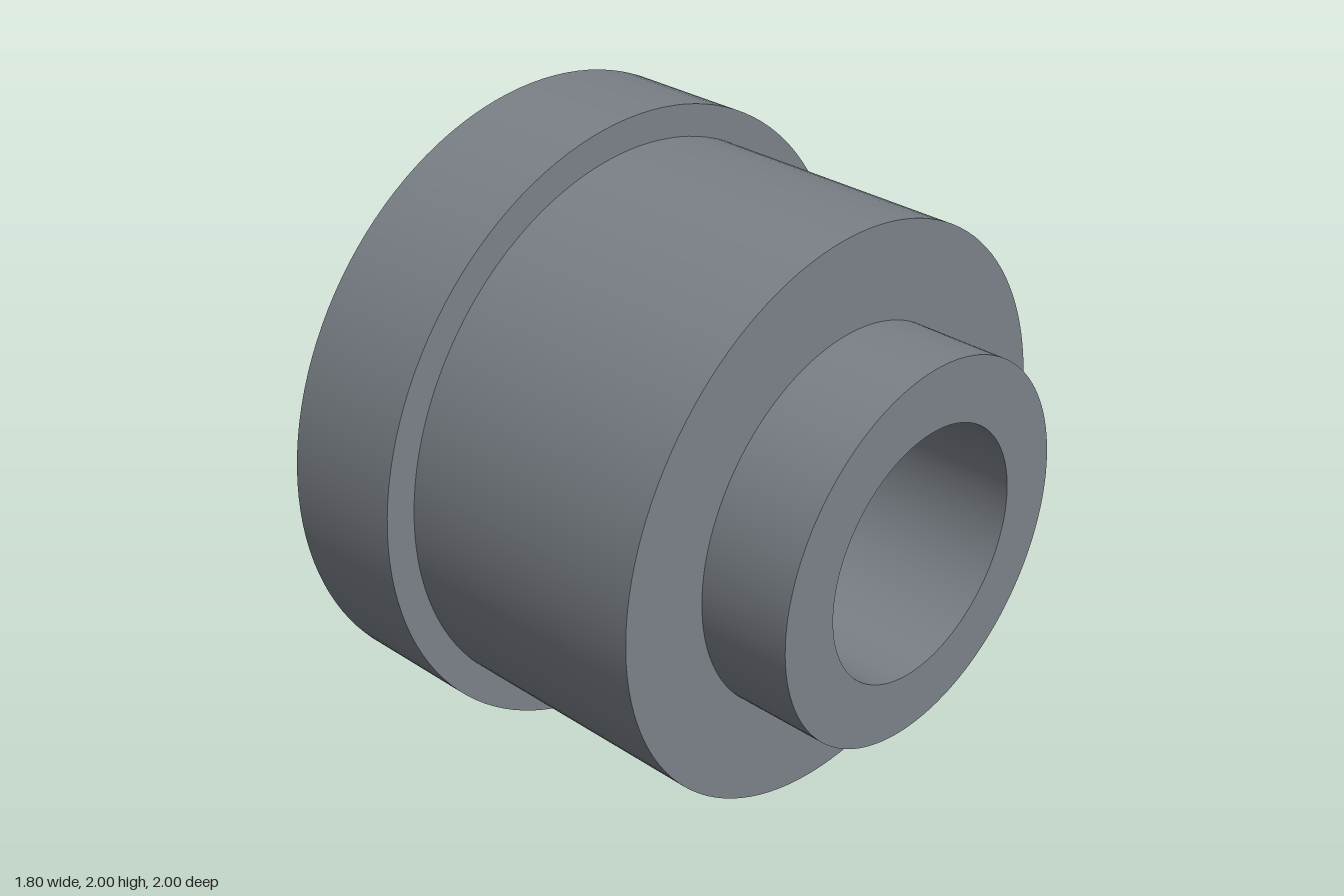
import * as THREE from 'three';
import { toCreasedNormals } from 'three/addons/utils/BufferGeometryUtils.js';

const SEGMENTS = 128;

export function createModel() {
  const model = new THREE.Group();
  model.name = 'flangedBushing';
  const steel = new THREE.MeshStandardMaterial({ color: 0x7b8188 });

  // Turns a profile of [radius, x] points about the x axis, with sharp edges.
  function turned(name, profile) {
    const points = profile.map(([r, x]) => new THREE.Vector2(r, x));
    const lathe = new THREE.LatheGeometry(points, SEGMENTS);
    lathe.rotateZ(-Math.PI / 2);
    const mesh = new THREE.Mesh(toCreasedNormals(lathe, 0.5), steel);
    mesh.name = name;
    mesh.position.y = 1;
    model.add(mesh);
  }

  // Together the profiles form one closed, hollow solid.
  turned('rightHub', [[0.4, -0.9], [0.5, -0.9], [0.5, -0.64]]);
  turned('flange', [[0.5, -0.64], [1, -0.64], [1, -0.24], [0.9, -0.24]]);
  turned('body', [[0.9, -0.24], [0.9, 0.6], [0.6, 0.6]]);
  turned('leftHub', [[0.6, 0.6], [0.6, 0.9], [0.4, 0.9]]);
  turned('bore', [[0.4, 0.9], [0.4, -0.9]]);

  return model;
}
